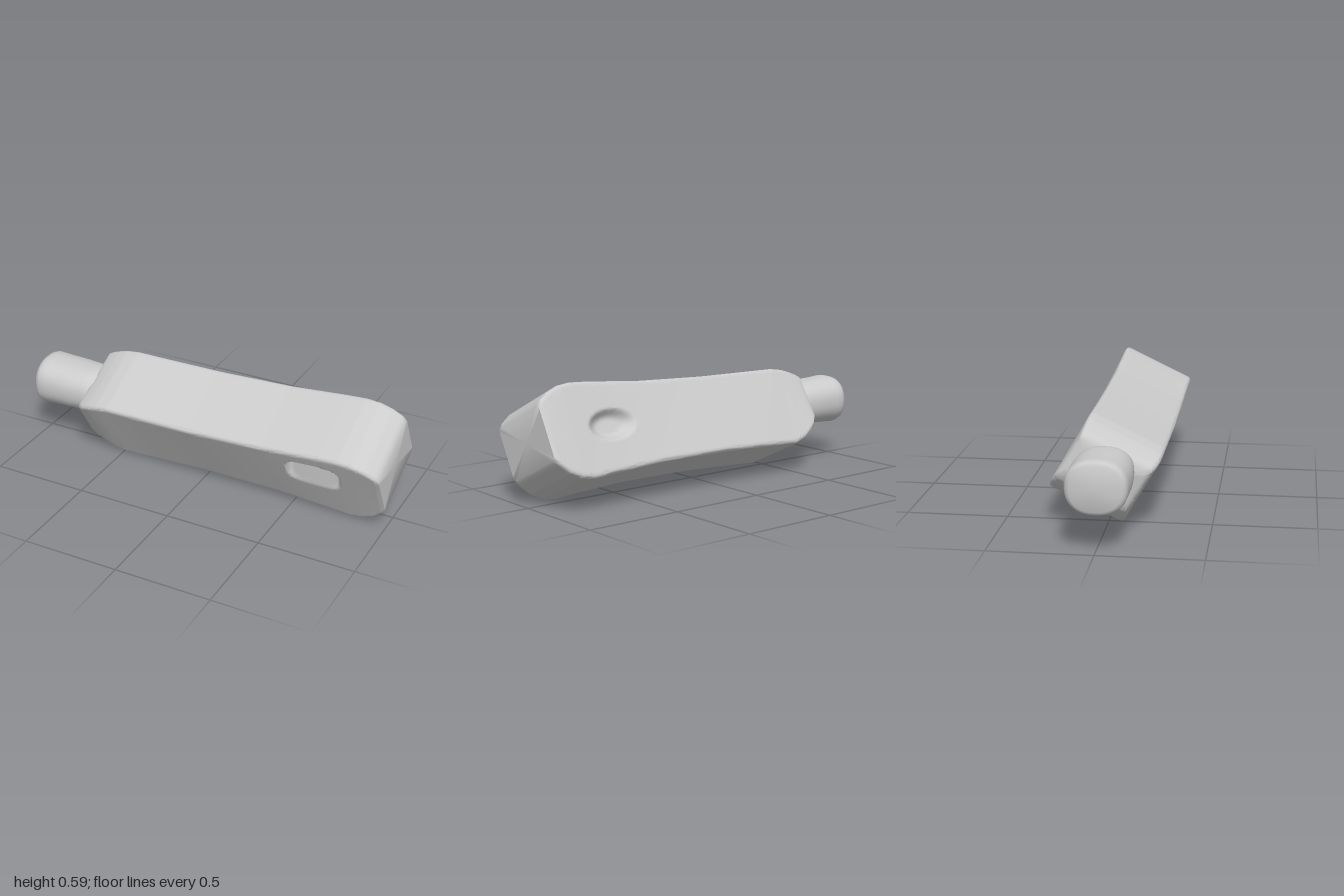
import * as THREE from 'three';
import { toCreasedNormals } from 'three/addons/utils/BufferGeometryUtils.js';

const material = new THREE.MeshStandardMaterial({ color: 0xcccccc });

// Closed surface along x from rings of [y, z] points, capped at both ends
function loft(xs, ringAt) {
  const pos = [], idx = [];
  let n = 0;
  for (const x of xs) {
    const ring = ringAt(x);
    n = ring.length;
    for (const [y, z] of ring) pos.push(x, y, z);
  }
  const last = (xs.length - 1) * n;
  for (let i = 0; i < xs.length - 1; i++) {
    for (let j = 0; j < n; j++) {
      const a = i * n + j, c = i * n + (j + 1) % n;
      idx.push(a, c, a + n, c, c + n, a + n);
    }
  }
  for (const start of [0, last]) {
    let y = 0, z = 0;
    for (let j = 0; j < n; j++) {
      y += pos[(start + j) * 3 + 1] / n;
      z += pos[(start + j) * 3 + 2] / n;
    }
    const centre = pos.length / 3;
    pos.push(pos[start * 3], y, z);
    for (let j = 0; j < n; j++) {
      const a = start + j, b = start + (j + 1) % n;
      if (start === 0) idx.push(centre, b, a);
      else idx.push(centre, a, b);
    }
  }
  const geometry = new THREE.BufferGeometry();
  geometry.setAttribute('position', new THREE.Float32BufferAttribute(pos, 3));
  geometry.setIndex(idx);
  return toCreasedNormals(geometry, 0.8);
}

// Linear interpolation of station rows [x, ...values]
function sample(rows, x) {
  let i = 0;
  while (i < rows.length - 2 && x > rows[i + 1][0]) i++;
  const a = rows[i], b = rows[i + 1];
  const t = THREE.MathUtils.clamp((x - a[0]) / (b[0] - a[0]), 0, 1);
  return a.slice(1).map((v, k) => v + (b[k + 1] - v) * t);
}

// Stations including evenly spaced steps between the given rows
function stations(rows, step) {
  const xs = [];
  for (let i = 0; i < rows.length - 1; i++) {
    const a = rows[i][0], b = rows[i + 1][0];
    const count = Math.max(1, Math.round((b - a) / step));
    for (let k = 0; k < count; k++) xs.push(a + (b - a) * k / count);
  }
  xs.push(rows[rows.length - 1][0]);
  return xs;
}

// Body: x, top, bottom, half width, sideways lean of the section
const bodyRows = [
  [-0.682, 0.1, -0.09, 0.165, 0.01], [-0.668, 0.13, -0.13, 0.187, 0.015],
  [-0.64, 0.145, -0.163, 0.194, 0.018], [-0.6, 0.162, -0.193, 0.198, 0.02],
  [-0.55, 0.178, -0.222, 0.2, 0.02], [-0.48, 0.19, -0.243, 0.2, 0.02],
  [-0.3, 0.194, -0.233, 0.2, 0.022], [0, 0.2, -0.22, 0.2, 0.024],
  [0.4, 0.218, -0.217, 0.2, 0.02], [0.7, 0.244, -0.23, 0.202, 0.012],
  [0.8, 0.249, -0.238, 0.203, 0.01], [0.87, 0.241, -0.226, 0.203, 0.01],
  [0.93, 0.218, -0.195, 0.201, 0.01], [0.98, 0.183, -0.145, 0.198, 0.01],
  [0.997, 0.16, -0.12, 0.192, 0.01],
];

// Hollows pressed into the two broad faces: a ramped notch and a round dish
function hollow(x, y, front) {
  const dx = (x - (front ? 0.65 : 0.63)) / 0.145;
  const dy = (y - (front ? 0.065 : 0.018)) / (front ? 0.086 : 0.08);
  const p = front ? 3.5 : 2;
  const d = Math.pow(Math.abs(dx), p) + Math.pow(Math.abs(dy), p);
  if (d >= 1) return 0;
  if (front) return 0.035 * (1 + dy) * THREE.MathUtils.smoothstep(1 - d, 0, 0.45);
  return 0.045 * THREE.MathUtils.smoothstep(1 - d, 0, 0.85);
}

function bodyRing(x) {
  const [top, bottom, half, lean] = sample(bodyRows, x);
  const r = 0.02, drop = 0.012, cuts = 40, ring = [];
  // centres of the four rounded corners
  const corners = [
    [top - r - drop, half - r + lean], [bottom + r, half - r - lean],
    [bottom + r + drop, -half + r - lean], [top - r, -half + r + lean],
  ];
  const arc = (q, t) => {
    const a = (q + t) * Math.PI / 2;
    return [corners[q][0] + r * Math.cos(a), corners[q][1] + r * Math.sin(a)];
  };
  for (let q = 0; q < 4; q++) {
    for (let s = 0; s <= 4; s++) ring.push(arc(q, s / 4));
    // flat run to the next corner
    const from = arc(q, 1), to = arc((q + 1) % 4, 0);
    for (let s = 1; s < cuts; s++) {
      const y = from[0] + (to[0] - from[0]) * s / cuts;
      let z = from[1] + (to[1] - from[1]) * s / cuts;
      if (q === 0) z -= hollow(x, y, true);
      if (q === 2) z += hollow(x, y, false);
      ring.push([y, z]);
    }
  }
  return ring;
}

// Neck: x, half height, half depth
const neckRows = [
  [-1, 0.108, 0.12], [-0.992, 0.122, 0.136], [-0.97, 0.128, 0.145], [-0.9, 0.123, 0.147],
  [-0.8, 0.119, 0.148], [-0.71, 0.115, 0.142], [-0.68, 0.113, 0.138], [-0.64, 0.09, 0.11],
];

function neckRing(x) {
  const [h, d] = sample(neckRows, x);
  const round = (v) => Math.sign(v) * Math.pow(Math.abs(v), 0.85);
  return Array.from({ length: 40 }, (_, j) => {
    const a = j / 40 * Math.PI * 2;
    return [0.32 + h * round(Math.cos(a)), 0.005 + d * round(Math.sin(a))];
  });
}

export function createModel() {
  const model = new THREE.Group();
  model.name = 'handle';

  // Body, rolled about its long axis
  const body = new THREE.Mesh(loft(stations(bodyRows, 0.008), bodyRing), material);
  body.name = 'body';
  body.rotation.x = 0.412;
  body.position.y = 0.3;

  // Round neck at one end
  const neck = new THREE.Mesh(loft(stations(neckRows, 0.03), neckRing), material);
  neck.name = 'neck';

  model.add(body, neck);
  return model;
}
